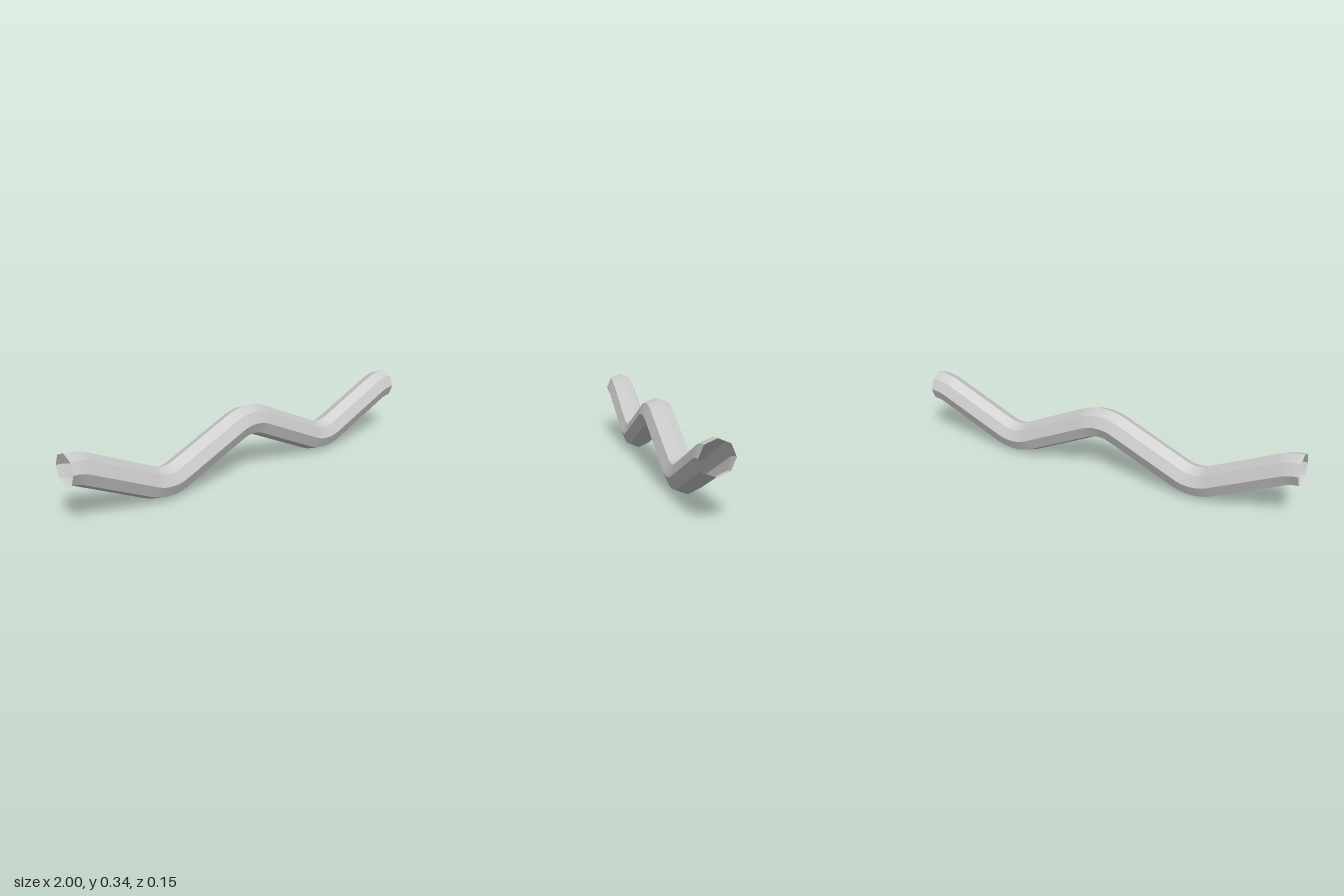
import * as THREE from 'three';

const RADIUS = 0.077, SIDES = 8;     // octagonal tube
const BEND = 0.2, SLOPE = 0.43;      // bend radius and slope angle of the straight runs
const CREST = 0.266, TROUGH = 0.077; // centre line heights
const STEPS = 5;                     // segments per half bend

// Centre line stations: x, y and tilt, through crests and troughs every half unit
function centreLine() {
  const stations = [];
  for (let k = 0; k < 5; k++) {
    const crest = k % 2 === 0;
    const sign = crest ? 1 : -1;
    const from = k === 0 ? 0 : -STEPS;
    const to = k === 4 ? 0 : STEPS;
    for (let i = from; i <= to; i++) {
      const a = (i / STEPS) * SLOPE;
      stations.push({
        x: -1 + k * 0.5 + BEND * Math.sin(a),
        y: (crest ? CREST : TROUGH) - sign * BEND * (1 - Math.cos(a)),
        tilt: -sign * a,
      });
    }
  }
  return stations;
}

// Sweep an octagon with corners at top and bottom along the centre line
function sweep(stations) {
  const positions = [], indices = [];
  for (const { x, y, tilt } of stations) {
    for (let j = 0; j < SIDES; j++) {
      const a = (j / SIDES) * Math.PI * 2;
      const up = RADIUS * Math.cos(a);
      positions.push(x - up * Math.sin(tilt), y + up * Math.cos(tilt), RADIUS * Math.sin(a));
    }
  }
  for (let i = 0; i < stations.length - 1; i++) {
    for (let j = 0; j < SIDES; j++) {
      const a = i * SIDES + j, b = i * SIDES + (j + 1) % SIDES;
      indices.push(a, b, a + SIDES, b, b + SIDES, a + SIDES);
    }
  }
  const geometry = new THREE.BufferGeometry();
  geometry.setAttribute('position', new THREE.Float32BufferAttribute(positions, 3));
  geometry.setIndex(indices);
  geometry.computeVertexNormals();
  return geometry;
}

export function createModel() {
  const group = new THREE.Group();
  group.name = 'wavyPipe';
  // Open at both ends, so the inside shows
  const material = new THREE.MeshStandardMaterial({
    color: 0xcccccc, flatShading: true, side: THREE.DoubleSide,
  });
  const pipe = new THREE.Mesh(sweep(centreLine()), material);
  pipe.name = 'pipe';
  group.add(pipe);
  return group;
}
